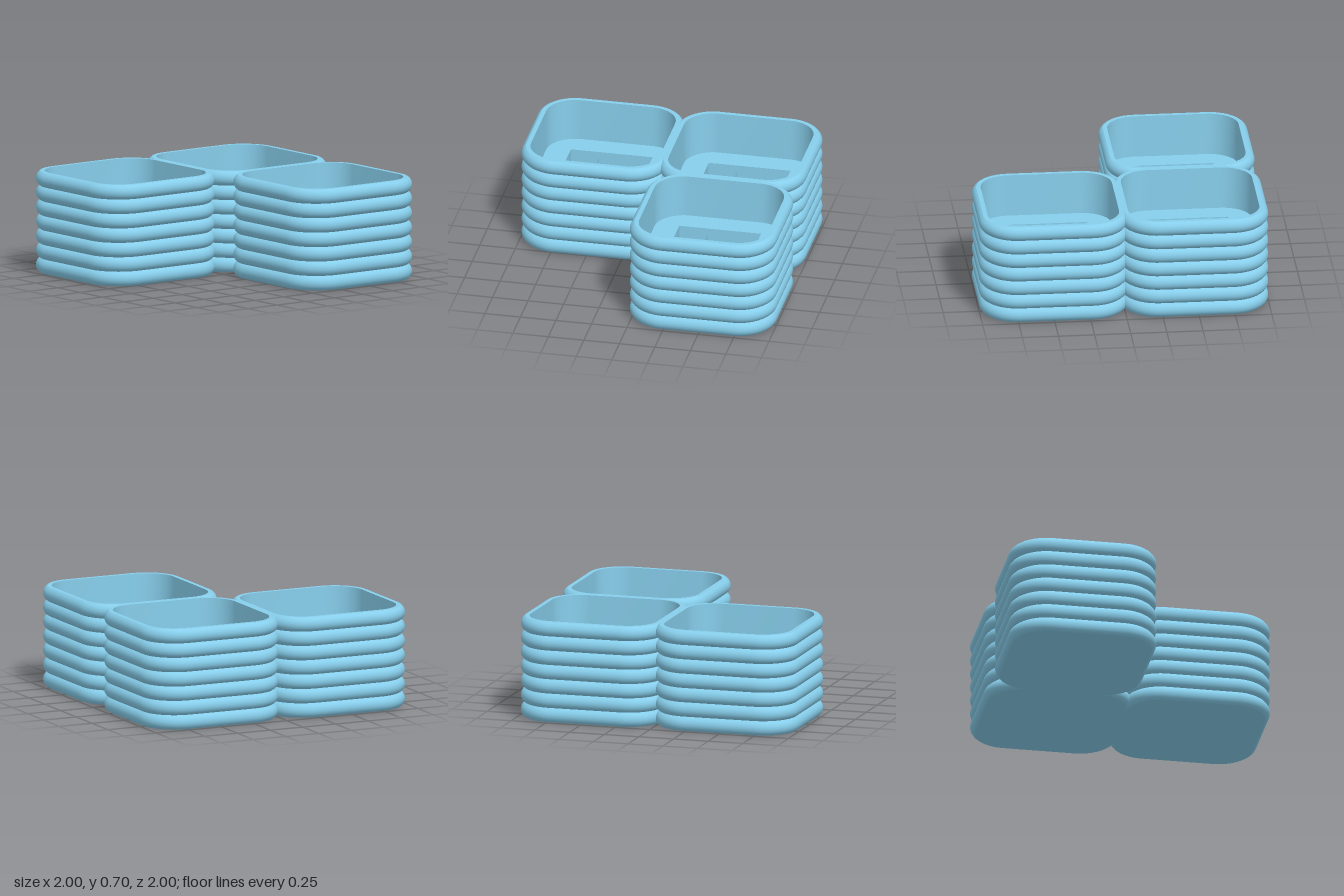
import * as THREE from 'three';
import { toCreasedNormals } from 'three/addons/utils/BufferGeometryUtils.js';

const LAYERS = 7, HEIGHT = 0.705, OUTER = 0.515, BULGE = 0.03, INNER = 0.454;
const CORNER = 0.25;   // corner arc centres, shared by every ring
const PITCH = 0.485;   // pot centre offset
const FLOOR = 0.405, PLATE = 0.055, PIT_BOTTOM = 0.08, PIT = 0.288;

// Rounded-square outline of a given half width
function outline(half) {
  const pts = [], n = 12, r = half - CORNER;
  for (let q = 0; q < 4; q++) {
    const mid = Math.PI / 4 + q * Math.PI / 2;
    const cx = CORNER * Math.sign(Math.cos(mid)), cy = CORNER * Math.sign(Math.sin(mid));
    for (let i = 0; i <= n; i++) {
      const a = (q + i / n) * Math.PI / 2;
      pts.push(new THREE.Vector2(cx + r * Math.cos(a), cy + r * Math.sin(a)));
    }
  }
  return pts;
}

// Sweep a [half width, y] profile around the rounded square
function loft(profile) {
  const pos = [], idx = [];
  const rings = profile.map(([half]) => outline(half));
  const n = rings[0].length;
  rings.forEach((ring, i) => ring.forEach(p => pos.push(p.x, profile[i][1], p.y)));
  for (let i = 0; i < rings.length - 1; i++) {
    for (let j = 0; j < n; j++) {
      const k = (j + 1) % n, a = i * n + j, b = i * n + k, c = a + n, d = b + n;
      idx.push(a, c, b, b, c, d);
    }
  }
  const g = new THREE.BufferGeometry();
  g.setAttribute('position', new THREE.Float32BufferAttribute(pos, 3));
  g.setIndex(idx);
  return toCreasedNormals(g, 0.4);
}

// Flat slab of the rounded square between two heights, with an optional hole
function slab(half, y0, y1, hole) {
  const shape = new THREE.Shape(outline(half));
  if (hole) shape.holes.push(new THREE.Path(hole.map(([x, y]) => new THREE.Vector2(x, y))));
  const g = new THREE.ExtrudeGeometry(shape, { depth: y1 - y0, bevelEnabled: false });
  g.rotateX(-Math.PI / 2).translate(0, y0, 0);
  return g;
}

// Stacked beads outside, flat rim, straight inner wall
function shellProfile() {
  const pts = [], h = HEIGHT / LAYERS, steps = 10;
  const R = (h * h / 4 + BULGE * BULGE) / (2 * BULGE);
  const sweep = Math.asin(h / 2 / R);
  for (let l = 0; l < LAYERS; l++) {
    for (let s = l ? 1 : 0; s <= steps; s++) {
      const a = sweep * (2 * s / steps - 1);
      pts.push([OUTER - R + R * Math.cos(a), (l + 0.5) * h + R * Math.sin(a)]);
    }
  }
  pts.push([INNER, HEIGHT], [INNER, FLOOR - 0.01]);
  return pts;
}

export function createModel() {
  const model = new THREE.Group();
  model.name = 'threePotBlock';
  const material = new THREE.MeshStandardMaterial({ color: 0x87ceeb });

  // Square opening, and the same opening widened by a clip notch front and back
  const p = PIT, w = 0.1, q = PIT + 0.045;
  const square = [[-p, -p], [-p, p], [p, p], [p, -p]];
  const notched = [
    [-p, -p], [-p, p], [-w, p], [-w, q], [w, q], [w, p],
    [p, p], [p, -p], [w, -p], [w, -q], [-w, -q], [-w, -p],
  ];
  const parts = {
    beadedShell: loft(shellProfile()),
    base: slab(OUTER - BULGE, 0, PIT_BOTTOM),
    notchedBlock: slab(INNER + 0.01, PIT_BOTTOM, FLOOR - PLATE, notched),
    floorPlate: slab(INNER + 0.01, FLOOR - PLATE, FLOOR, square),
  };

  // Three identical pots in an L
  const places = { backRightPot: [-1, -1], backLeftPot: [1, -1], frontLeftPot: [1, 1] };
  for (const [name, [sx, sz]] of Object.entries(places)) {
    const pot = new THREE.Group();
    pot.name = name;
    pot.position.set(sx * PITCH, 0, sz * PITCH);
    for (const [part, geometry] of Object.entries(parts)) {
      const mesh = new THREE.Mesh(geometry, material);
      mesh.name = part;
      pot.add(mesh);
    }
    model.add(pot);
  }
  return model;
}
